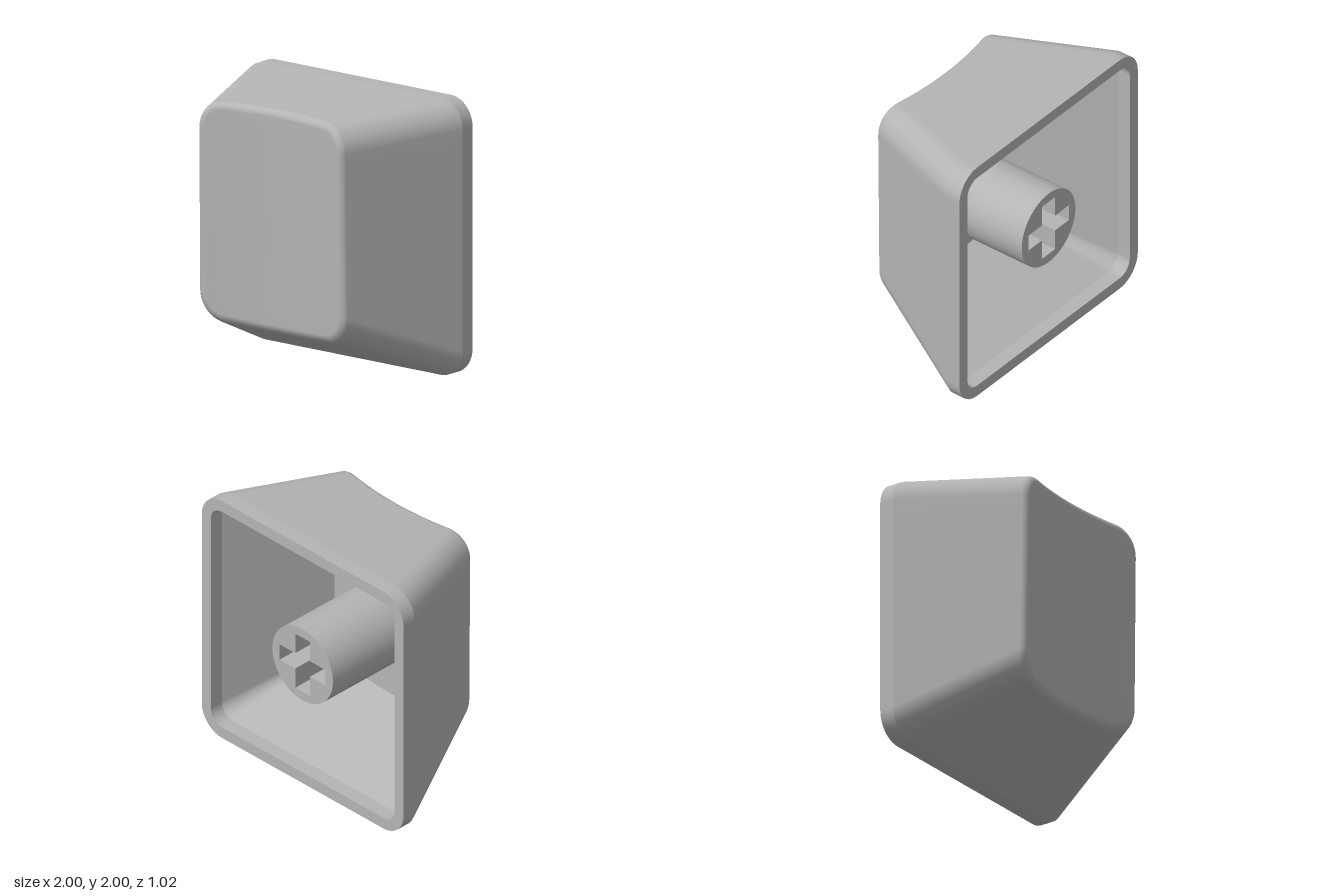
import * as THREE from 'three';
import { toCreasedNormals } from 'three/addons/utils/BufferGeometryUtils.js';

const BACK = -0.51, LIP = -0.4, WALL = 0.09, EDGE = 0.05;
const CORNER = 10, SIDE = 12, COUNT = 4 * (CORNER + SIDE);

// Scooped front surface, tilted slightly backwards at the bottom
const dish = (x, y) => 0.425 + 0.085 * (x / 0.64) ** 2 + 0.014 * (y - 1.2);

// Point i of the tapering rounded rectangle at depth z, counter-clockwise from the front
function outlinePoint(i, z, inset, r) {
  const t = Math.max(0, z - LIP);
  const hw = 1 - 0.38 * t - inset - r;
  const y0 = 0.4 * t + inset + r, y1 = 2 - 0.083 * t - inset - r;
  const centres = [[hw, y1], [-hw, y1], [-hw, y0], [hw, y0]];
  const q = Math.floor(i / (CORNER + SIDE)), k = i % (CORNER + SIDE);
  const a = (q + Math.min(k / CORNER, 1)) * Math.PI / 2;
  const f = Math.max(0, k - CORNER) / SIDE;
  const [ax, ay] = centres[q], [bx, by] = centres[(q + 1) % 4];
  return [ax + (bx - ax) * f + r * Math.cos(a), ay + (by - ay) * f + r * Math.sin(a), z];
}

const makeRing = (fn) => Array.from({ length: COUNT }, (_, i) => fn(i));
const flatRing = (z, inset, r) => makeRing((i) => outlinePoint(i, z, inset, r));

// Ring that follows the dish at a given distance below it
const dishRing = (drop, inset, r) => makeRing((i) => {
  let p = outlinePoint(i, 0.45, inset, r);
  for (let n = 0; n < 5; n++) p = outlinePoint(i, dish(p[0], p[1]) - drop, inset, r);
  return p;
});

// Concentric rings from an edge ring to its centre, lying on the dish
function fillRings(edge, drop) {
  const rings = [];
  for (let k = 9; k >= 0; k--) {
    rings.push(edge.map(([x, y]) => {
      const px = x * k / 10, py = 1.13 + (y - 1.13) * k / 10;
      return [px, py, dish(px, py) - drop];
    }));
  }
  return rings;
}

function loft(rings) {
  const g = new THREE.BufferGeometry();
  const index = [];
  for (let k = 0; k < rings.length - 1; k++) {
    for (let i = 0; i < COUNT; i++) {
      const j = (i + 1) % COUNT, a = k * COUNT, b = a + COUNT;
      index.push(a + i, a + j, b + j, a + i, b + j, b + i);
    }
  }
  g.setAttribute('position', new THREE.Float32BufferAttribute(rings.flat(2), 3));
  g.setIndex(index);
  g.computeVertexNormals();
  return g;
}

export function createModel() {
  const model = new THREE.Group();
  model.name = 'keycap';
  const grey = new THREE.MeshStandardMaterial({ color: 0xb4b4b4 });
  grey.name = 'grey plastic';
  const add = (name, geometry) => {
    const mesh = new THREE.Mesh(geometry, grey);
    mesh.name = name;
    model.add(mesh);
    return mesh;
  };

  // Outer shell: straight lip, tapered walls, rounded edge and scooped face
  const outerLip = flatRing(LIP, 0, 0.2);
  add('outerLip', loft([flatRing(BACK, 0, 0.2), outerLip]));
  const shell = [outerLip];
  for (let s = 0; s <= 6; s++) {
    const a = s / 6 * Math.PI / 2;
    const inset = EDGE * (1 - Math.cos(a));
    shell.push(dishRing(EDGE * (1 - Math.sin(a)), inset, 0.2 - inset));
  }
  shell.push(...fillRings(shell[shell.length - 1], 0));
  add('outerShell', loft(shell));

  // Hollow inside: rim, inner lip, inner walls and curved floor
  const rimInner = flatRing(BACK, WALL, 0.11);
  const lipInner = flatRing(LIP, WALL, 0.11);
  const floorEdge = dishRing(WALL, WALL, 0.03);
  add('rim', loft([rimInner, flatRing(BACK, 0, 0.2)]));
  add('innerLip', loft([lipInner, rimInner]));
  add('innerWalls', loft([floorEdge, lipInner]));
  add('innerFloor', loft([...fillRings(floorEdge, WALL).reverse(), floorEdge]));

  // Stem with a cross-shaped socket
  const R = 0.3, depth = 0.42, L = 0.228, h = 0.065, v = 0.073;
  const disc = new THREE.Shape().absarc(0, 0, R, 0, Math.PI * 2);
  disc.holes.push(new THREE.Path([
    [L, h], [v, h], [v, L], [-v, L], [-v, h], [-L, h],
    [-L, -h], [-v, -h], [-v, -L], [v, -L], [v, -h], [L, -h],
  ].map(([x, y]) => new THREE.Vector2(x, y))));
  const socket = new THREE.ExtrudeGeometry(disc, { depth, bevelEnabled: false, curveSegments: 48 });
  add('stemSocket', toCreasedNormals(socket, 0.5)).position.set(0, 1, BACK);

  const start = BACK + depth, end = 0.37;
  const core = new THREE.CylinderGeometry(R, R, end - start, 48);
  core.rotateX(Math.PI / 2);
  add('stemCore', core).position.set(0, 1, (start + end) / 2);

  return model;
}
